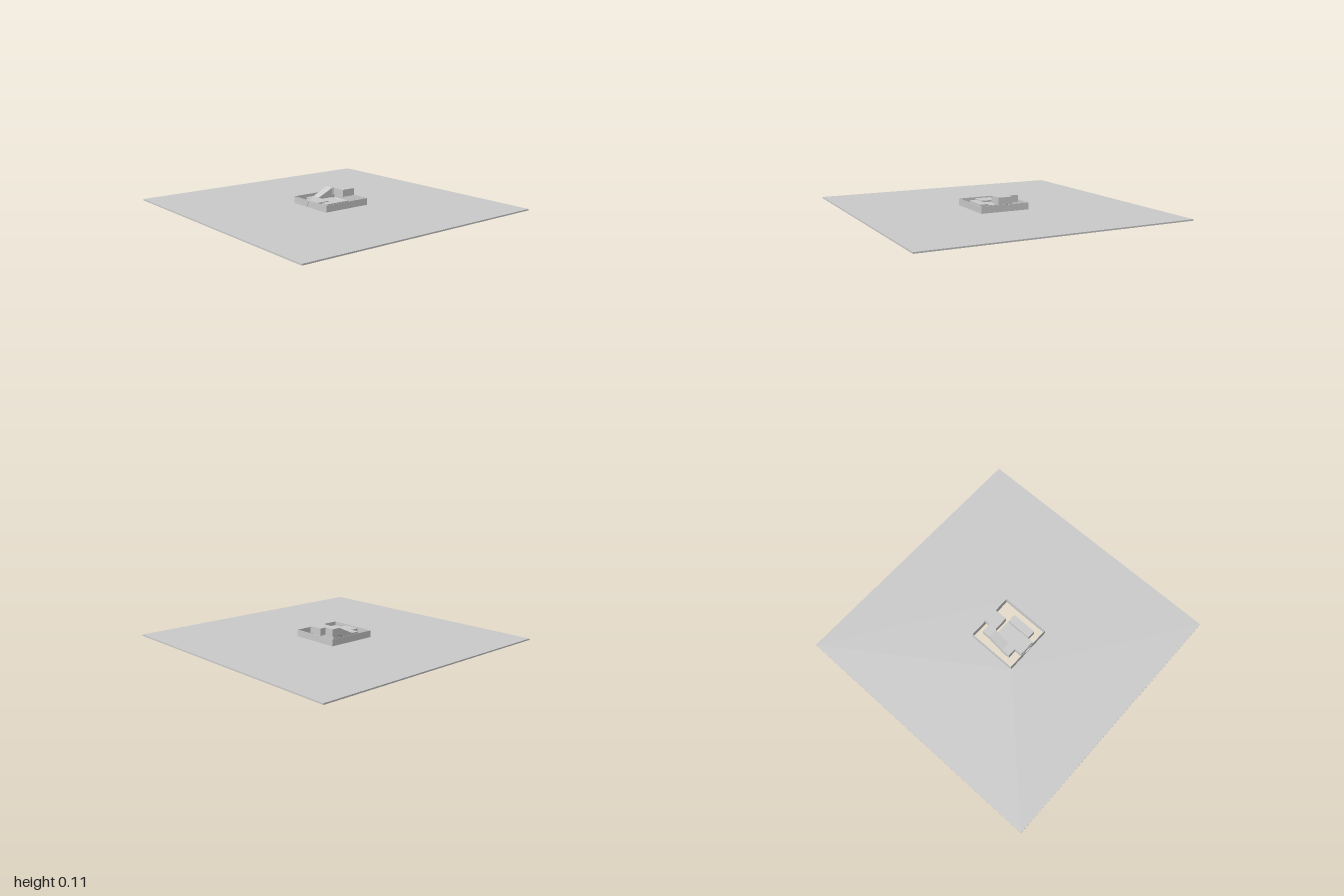
import * as THREE from 'three';

const material = new THREE.MeshStandardMaterial({ color: 0xcccccc, flatShading: true, side: THREE.DoubleSide });

export function createModel() {
  const model = new THREE.Group();

  const add = (name, geometry) => {
    const mesh = new THREE.Mesh(geometry, material);
    mesh.name = name;
    model.add(mesh);
    return mesh;
  };

  // Box given by its lower and upper limits on each axis
  const block = (name, [x0, x1], [y0, y1], [z0, z1]) =>
    add(name, new THREE.BoxGeometry(x1 - x0, y1 - y0, z1 - z0))
      .position.set((x0 + x1) / 2, (y0 + y1) / 2, (z0 + z1) / 2);

  const rectangle = (Type, x0, x1, y0, y1) => new Type([
    new THREE.Vector2(x0, y0), new THREE.Vector2(x1, y0),
    new THREE.Vector2(x1, y1), new THREE.Vector2(x0, y1),
  ]);

  // Ground plate with a square opening
  const plate = rectangle(THREE.Shape, -1, 1, -1, 1);
  plate.holes.push(rectangle(THREE.Path, -0.19, 0.187, -0.187, 0.19));
  const ground = new THREE.ExtrudeGeometry(plate, { depth: 0.01, bevelEnabled: false });
  ground.rotateX(Math.PI / 2).translate(0, 0.01, 0);
  add('groundPlate', ground);

  // Thin enclosure walls
  const t = 0.003, top = 0.06;
  block('backWall', [-0.19, 0.187], [0, top], [-0.19, -0.19 + t]);
  block('rightWall', [-0.19, -0.19 + t], [0, top], [-0.19, 0.187]);
  block('leftWall', [0.187 - t, 0.187], [0, top], [-0.19, 0.187]);

  // Front wall with a jagged breach
  const front = rectangle(THREE.Shape, -0.19, 0.187, 0, top);
  front.holes.push(new THREE.Path([
    [-0.03, 0.012], [0.02, 0.012], [0.034, 0.018], [0.02, 0.028], [0.026, 0.04],
    [0.012, 0.038], [0.004, 0.05], [-0.012, 0.044], [-0.022, 0.048], [-0.03, 0.03],
  ].map(([x, y]) => new THREE.Vector2(x, y))));
  const frontWall = new THREE.ExtrudeGeometry(front, { depth: t, bevelEnabled: false });
  add('frontWall', frontWall.translate(0, 0, 0.187 - t));

  // Raised platforms at the back
  block('upperPlatform', [-0.06, 0.05], [0.06, 0.112], [-0.183, -0.075]);
  block('upperLanding', [-0.133, -0.06], [0.06, 0.112], [-0.135, -0.07]);

  // Ramp between the landings: side profile in (z, y), extruded across x
  const profile = new THREE.Shape([
    [-0.07, 0.112], [-0.07, 0.06], [0.055, 0.0], [0.055, 0.053],
  ].map(([z, y]) => new THREE.Vector2(-z, y)));
  const ramp = new THREE.ExtrudeGeometry(profile, { depth: 0.068, bevelEnabled: false });
  add('ramp', ramp.rotateY(Math.PI / 2).translate(-0.133, 0, 0));

  // Lower blocks
  block('lowerLanding', [-0.133, -0.065], [0, 0.053], [0.055, 0.117]);
  block('frontBlock', [-0.065, 0.06], [0, 0.053], [0.06, 0.177]);
  block('centreBlock', [-0.065, 0.06], [0, 0.04], [-0.065, 0.06]);
  block('sideBlock', [0.068, 0.13], [0, 0.05], [-0.063, 0.13]);

  return model;
}
